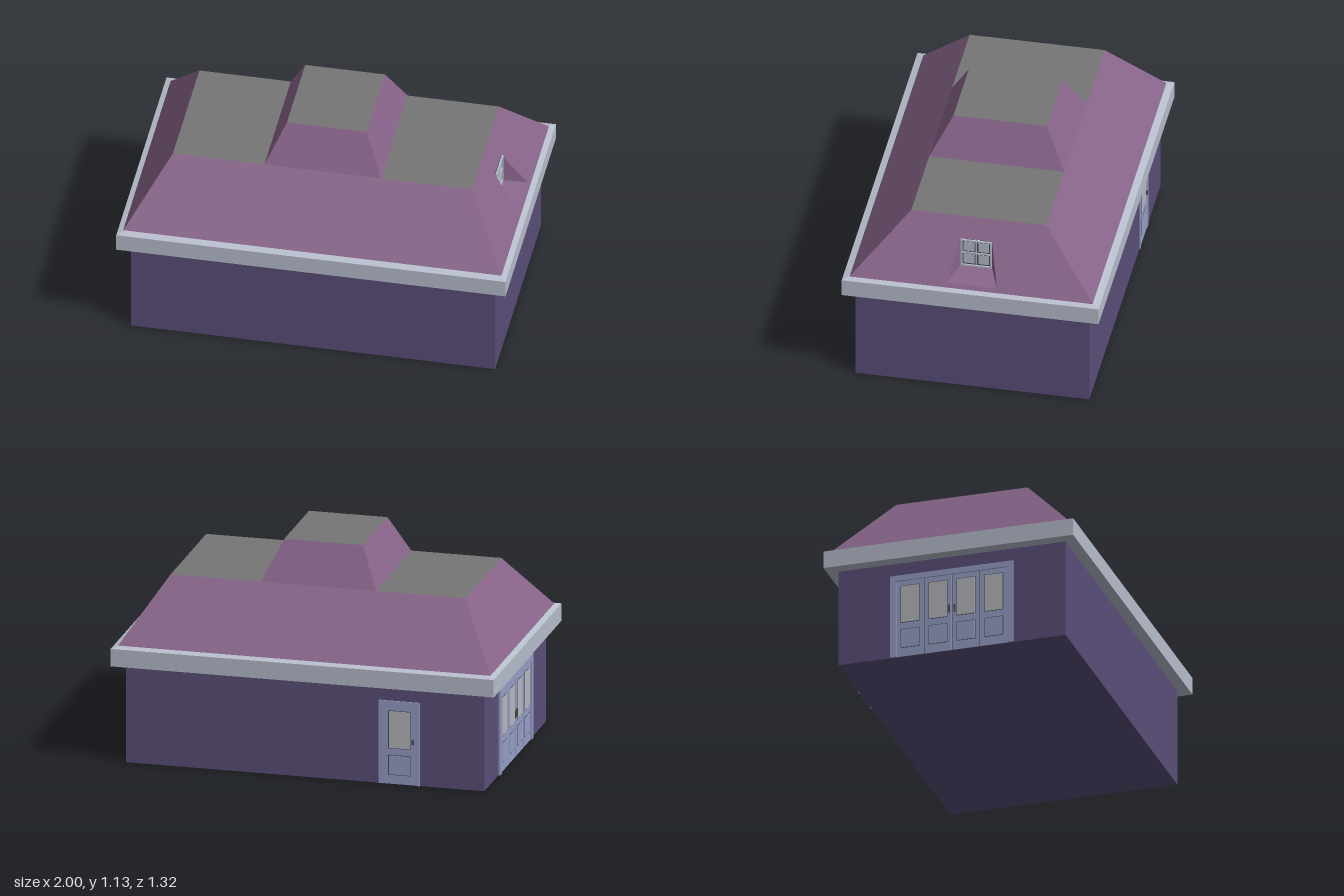
import * as THREE from 'three';

const mat = (name, color) => {
  const m = new THREE.MeshStandardMaterial({ color });
  m.name = name;
  return m;
};

export function createModel() {
  const wall = mat('purple wall', 0x5b4f7a);
  const tile = mat('mauve roof', 0x88648a);
  const flat = mat('flat roof grey', 0x767676);
  const trim = mat('pale trim', 0xb8bfcd);
  const joinery = mat('blue joinery', 0x98a0c8);
  const glass = mat('glass', 0xb9bac0);
  const dark = mat('dark metal', 0x4a4d58);
  const house = new THREE.Group();
  house.name = 'house';

  const add = (parent, name, geometry, material) => {
    const m = new THREE.Mesh(geometry, material);
    m.name = name;
    parent.add(m);
    return m;
  };
  const group = (name, x, y, z, turn) => {
    const g = new THREE.Group();
    g.name = name;
    g.position.set(x, y, z);
    g.rotation.y = turn;
    house.add(g);
    return g;
  };
  // Box given by its left, right, bottom, top, back and front
  const box = (parent, name, x0, x1, y0, y1, z0, z1, material) => {
    const m = add(parent, name, new THREE.BoxGeometry(x1 - x0, y1 - y0, z1 - z0), material);
    m.position.set((x0 + x1) / 2, (y0 + y1) / 2, (z0 + z1) / 2);
    return m;
  };
  // Flat convex faces, corners counter-clockwise
  const faces = (list) => {
    const p = [];
    for (const f of list)
      for (let i = 1; i < f.length - 1; i++) p.push(...f[0], ...f[i], ...f[i + 1]);
    const g = new THREE.BufferGeometry();
    g.setAttribute('position', new THREE.Float32BufferAttribute(p, 3));
    g.computeVertexNormals();
    return g;
  };
  // Sloping sides and flat top of a truncated pyramid
  const hip = (x0, z0, y0, x1, z1, y1) => {
    const turn = (f) => f.map(([x, y, z]) => [-x, y, -z]);
    const front = [[-x0, y0, z0], [x0, y0, z0], [x1, y1, z1], [-x1, y1, z1]];
    const right = [[x0, y0, z0], [x0, y0, -z0], [x1, y1, -z1], [x1, y1, z1]];
    const top = [[-x1, y1, z1], [x1, y1, z1], [x1, y1, -z1], [-x1, y1, -z1]];
    return { front, right, back: turn(front), left: turn(right), top };
  };

  // Walls and eaves
  box(house, 'walls', -0.935, 0.935, 0, 0.53, -0.6, 0.6, wall);
  box(house, 'eaves', -1, 1, 0.52, 0.612, -0.66, 0.66, trim);
  add(house, 'eavesTop', faces(Object.values(hip(1, 0.66, 0.612, 0.965, 0.622, 0.622))), trim);

  // Lower roof; its right slope has an opening for the recessed window
  const low = hip(0.975, 0.63, 0.615, 0.77, 0.347, 0.93);
  add(house, 'lowerRoof', faces([low.front, low.back, low.left]), tile);
  add(house, 'lowerRoofTop', faces([low.top]), flat);
  const slopeX = (y) => 0.975 - ((y - 0.615) / 0.315) * 0.205;
  const slope = new THREE.Shape(low.right.map(([, y, z]) => new THREE.Vector2(-z, y)));
  const opening = [[-0.13, 0.64], [-0.08, 0.835], [0.08, 0.835], [0.13, 0.64]];
  slope.holes.push(new THREE.Path(opening.map(([u, v]) => new THREE.Vector2(u, v))));
  const slopeGeo = new THREE.ShapeGeometry(slope);
  const pos = slopeGeo.attributes.position;
  for (let i = 0; i < pos.count; i++) {
    const u = pos.getX(i), v = pos.getY(i);
    pos.setXYZ(i, slopeX(v), v, -u);
  }
  slopeGeo.computeVertexNormals();
  add(house, 'rightRoofSlope', slopeGeo, tile);

  // Recess cheeks and sill
  const bx = 0.834, ox = slopeX(0.64), tx = slopeX(0.835);
  add(house, 'windowRecess', faces([
    [[tx, 0.835, 0.08], [ox, 0.64, 0.13], [bx, 0.675, 0.08]],
    [[tx, 0.835, -0.08], [bx, 0.675, -0.08], [ox, 0.64, -0.13]],
    [[ox, 0.64, 0.13], [ox, 0.64, -0.13], [bx, 0.675, -0.08], [bx, 0.675, 0.08]],
  ]), tile).material.side = THREE.DoubleSide;

  // Upper roof
  const up = hip(0.3, 0.347, 0.93, 0.205, 0.24, 1.132);
  add(house, 'upperRoof', faces([up.front, up.right, up.back, up.left]), tile);
  add(house, 'upperRoofTop', faces([up.top]), flat);

  // Four-pane roof window
  const win = group('roofWindow', 0.83, 0.755, 0, Math.PI / 2);
  box(win, 'windowBack', -0.08, 0.08, -0.08, 0.08, 0, 0.006, dark);
  for (const s of [-1, 1]) {
    const e = s * 0.076;
    box(win, 'windowStile', e - 0.004, e + 0.004, -0.08, 0.08, 0, 0.014, trim);
    box(win, 'windowRail', -0.08, 0.08, e - 0.004, e + 0.004, 0, 0.014, trim);
    for (const t of [-1, 1]) {
      const x = s * 0.0375, y = t * 0.0375;
      box(win, 'windowPane', x - 0.027, x + 0.027, y - 0.027, y + 0.027, 0.004, 0.008, trim);
    }
  }
  box(win, 'mullion', -0.004, 0.004, -0.075, 0.075, 0, 0.012, trim);
  box(win, 'transom', -0.075, 0.075, -0.004, 0.004, 0, 0.012, trim);

  // Door frame: two posts and a head
  const frame = (parent, w, h, t, d) => {
    for (const s of [-1, 1])
      box(parent, 'doorPost', s * (w - t / 2) - t / 2, s * (w - t / 2) + t / 2, 0, h, -0.01, d, joinery);
    box(parent, 'doorHead', -w, w, h - t, h, -0.01, d, joinery);
  };
  // Door leaf with a glazed top and a panel below, both outlined
  const leaf = (parent, cx, w, h, paneW, y0, y1, d) => {
    box(parent, 'doorLeaf', cx - w, cx + w, 0, h, -0.01, d, joinery);
    for (const [a, b, m, name] of [[y0, y1, glass, 'doorPane'], [0.05, y0 - 0.04, joinery, 'doorPanel']]) {
      box(parent, name + 'Outline', cx - paneW - 0.003, cx + paneW + 0.003, a - 0.003, b + 0.003, 0, d + 0.0012, dark);
      box(parent, name, cx - paneW, cx + paneW, a, b, 0, d + 0.0024, m);
    }
  };

  // Single back door
  const door = group('backDoor', -0.492, 0, -0.6, Math.PI);
  frame(door, 0.107, 0.44, 0.022, 0.005);
  leaf(door, 0, 0.086, 0.42, 0.055, 0.19, 0.385, 0.001);
  box(door, 'doorHandle', 0.066, 0.076, 0.215, 0.24, 0, 0.008, dark);

  // Four-leaf folding doors on the left side
  const folding = group('foldingDoors', -0.935, 0, 0, -Math.PI / 2);
  frame(folding, 0.325, 0.45, 0.03, 0.01);
  for (let i = 0; i < 4; i++)
    leaf(folding, (i - 1.5) * 0.1475, 0.072, 0.42, 0.047, 0.19, 0.39, 0.003);
  box(folding, 'doorGapBack', -0.295, 0.295, 0, 0.42, 0, 0.001, dark);
  for (const s of [-1, 1])
    box(folding, 'foldingHandle', s * 0.014 - 0.004, s * 0.014 + 0.004, 0.21, 0.25, 0, 0.011, dark);

  return house;
}
